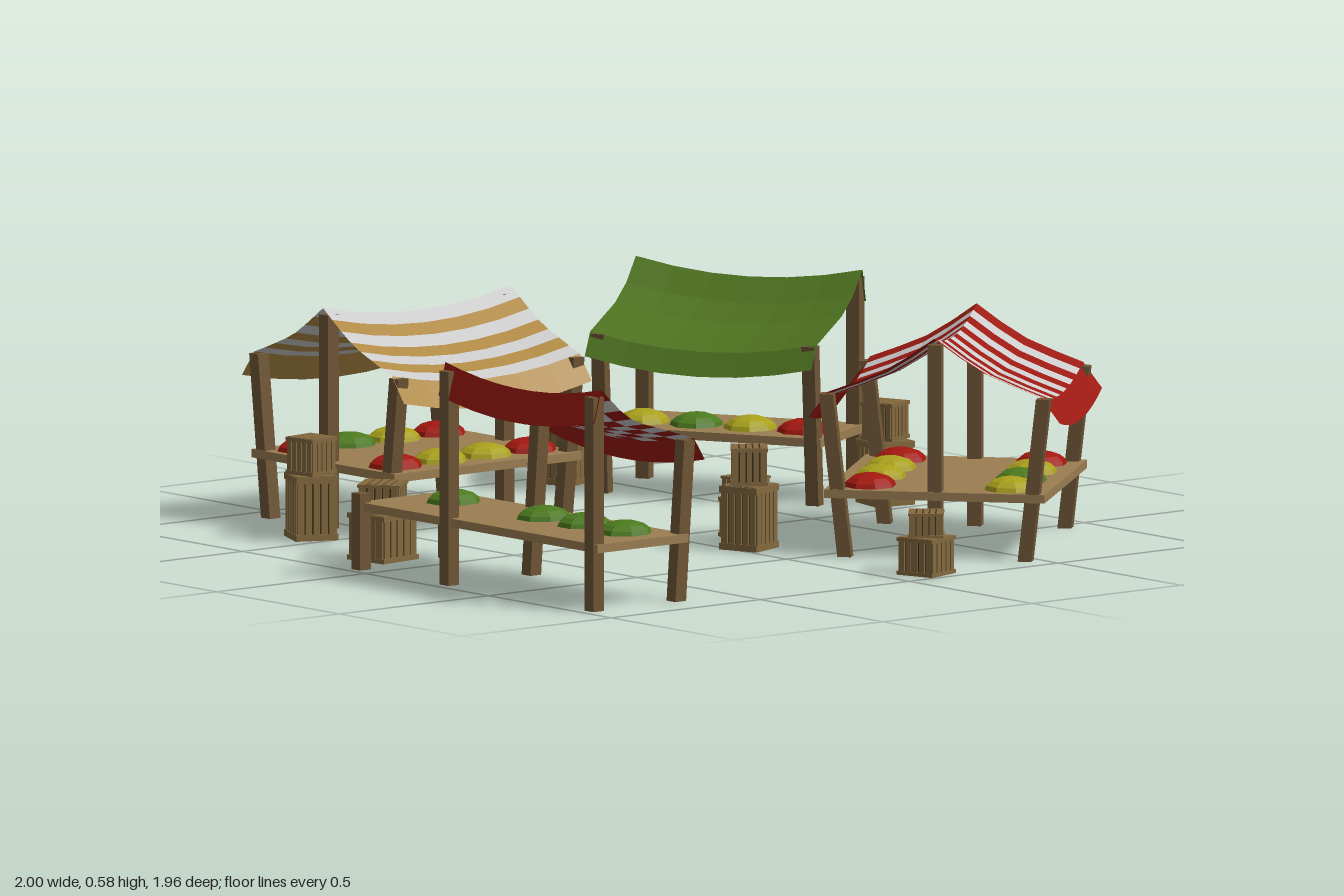
import * as THREE from 'three';

const mat = (color, extra = {}) => new THREE.MeshStandardMaterial({ color, flatShading: true, ...extra });
const wood = mat(0x84693f), plank = mat(0x9a7d52), postWood = mat(0x6f5636), gap = mat(0x3a2c1a);
const produceMats = { r: mat(0xa3180f), y: mat(0xa9a01c), g: mat(0x4c7a1e) };
const cloth = (color) => mat(color, { side: THREE.DoubleSide });
const red = cloth(0x9c1a12), white = cloth(0xbdbdbd), ochre = cloth(0xb08a45), green = cloth(0x4f7420);

const V2 = (x, y) => new THREE.Vector2(x, y);

function box(parent, name, material, w, h, d, x, y, z) {
  const m = new THREE.Mesh(new THREE.BoxGeometry(w, h, d), material);
  m.name = name;
  m.position.set(x, y, z);
  parent.add(m);
  return m;
}

// square post whose foot and head may be offset from one another
function post(parent, foot, head, height) {
  const t = 0.036;
  const geo = new THREE.BoxGeometry(t, height, t).translate(0, height / 2, 0);
  const p = geo.attributes.position;
  for (let i = 0; i < p.count; i++) {
    const k = p.getY(i) / height;
    p.setX(i, p.getX(i) + foot[0] + (head[0] - foot[0]) * k);
    p.setZ(i, p.getZ(i) + foot[1] + (head[1] - foot[1]) * k);
  }
  geo.computeVertexNormals();
  const m = new THREE.Mesh(geo, postWood);
  m.name = 'post';
  parent.add(m);
}

// sagging cloth: profile rows (across, height) swept along a length; pick() chooses each cell's colour
function canopy(parent, rows, length, cols, alongZ, pick) {
  const pos = [];
  const groups = new Map();
  rows.forEach((r) => {
    for (let j = 0; j <= cols; j++) {
      const t = (j / cols) * 2 - 1;
      const y = r.y - 0.036 * (1 - t * t);
      const l = (t * length) / 2;
      if (alongZ) pos.push(r.x, y, l);
      else pos.push(l, y, r.x);
    }
  });
  for (let i = 0; i < rows.length - 1; i++) {
    for (let j = 0; j < cols; j++) {
      const m = pick(i, j);
      if (!groups.has(m)) groups.set(m, []);
      const a = i * (cols + 1) + j, b = a + 1, c = a + cols + 1, d = c + 1;
      groups.get(m).push(...(alongZ ? [a, b, c, b, d, c] : [a, c, b, b, c, d]));
    }
  }
  // rows run from negative to positive, so flip faces to point upward
  const attr = new THREE.Float32BufferAttribute(pos, 3);
  for (const [m, index] of groups) {
    const g = new THREE.BufferGeometry();
    g.setAttribute('position', attr.clone());
    g.setIndex(index);
    g.computeVertexNormals();
    const mesh = new THREE.Mesh(g, m);
    mesh.name = 'canopyCloth';
    parent.add(mesh);
  }
}

// flattened heap of goods on a counter
function heap(parent, kind, x, z) {
  const geo = new THREE.SphereGeometry(1, 8, 4, Math.PI / 8, Math.PI * 2, 0, Math.PI / 2);
  const m = new THREE.Mesh(geo, produceMats[kind]);
  m.name = 'produceHeap';
  m.scale.set(0.07, 0.036, 0.075);
  m.position.set(x, 0.174, z);
  parent.add(m);
}

// slatted crate standing on its base
function crate(parent, w, h, y, turn) {
  const g = new THREE.Group();
  g.name = 'crate';
  g.position.y = y;
  g.rotation.y = turn;
  parent.add(g);
  box(g, 'crateCore', gap, w * 0.93, h * 0.95, w * 0.93, 0, h / 2, 0);
  const n = 5, pitch = (w * 0.96) / n, t = w * 0.04;
  for (let i = 0; i < n; i++) {
    const o = (i - (n - 1) / 2) * pitch;
    box(g, 'lidSlat', wood, pitch * 0.78, t, w * 0.94, o, h - t / 2, 0);
    for (const s of [-1, 1]) {
      box(g, 'sideSlat', wood, pitch * 0.78, h * 0.96, t, o, h / 2, s * (w / 2 - t / 2));
      box(g, 'sideSlat', wood, t, h * 0.96, pitch * 0.78, s * (w / 2 - t / 2), h / 2, o);
    }
  }
  for (const ry of [h * 0.06, h * 0.94]) {
    for (const s of [-1, 1]) {
      box(g, 'crateRail', wood, w * 1.02, h * 0.1, t, 0, ry, s * w * 0.5);
      box(g, 'crateRail', wood, t, h * 0.1, w * 1.02, s * w * 0.5, ry, 0);
    }
  }
}

function stall(root, name, x, z, turn) {
  const g = new THREE.Group();
  g.name = name;
  g.position.set(x, 0, z);
  g.rotation.y = turn;
  root.add(g);
  return g;
}

// square stall under a ridged canopy, ridge along z
function gableStall(root, name, x, z, turn, slopeRows, cols, pick, leftGoods, rightGoods) {
  const g = stall(root, name, x, z, turn);
  box(g, 'counter', plank, 0.58, 0.022, 0.63, 0, 0.165, 0);
  for (const s of [-1, 1]) {
    post(g, [0, s * 0.295], [0, s * 0.295], 0.56);
    for (const e of [-1, 1]) post(g, [e * 0.237, s * 0.295], [e * 0.285, s * 0.295], 0.425);
  }
  const slope = new THREE.SplineCurve([V2(0.28, 0.432), V2(0.2, 0.462), V2(0.11, 0.502), V2(0, 0.578)]);
  const half = [V2(0.33, 0.365), ...slope.getSpacedPoints(slopeRows)];
  const mirrored = half.map((p) => V2(-p.x, p.y));
  const rows = [...mirrored, ...half.slice(0, -1).reverse()];
  const last = rows.length - 2;
  canopy(g, rows, 0.63, cols, true, (i, j) => pick(Math.min(i, last - i), j));
  [...leftGoods].forEach((k, i) => heap(g, k, -0.185, 0.225 - i * 0.15));
  [...rightGoods].forEach((k, i) => heap(g, k, 0.185, 0.225 - i * 0.15));
}

// long stall under a lean-to canopy, tall side towards +z
function leanStall(root, name, x, z, turn, tableMin, slopeRows, cols, pick, goods) {
  const g = stall(root, name, x, z, turn);
  box(g, 'counter', plank, 0.32 - tableMin, 0.022, 0.305, (0.32 + tableMin) / 2, 0.165, 0.028);
  for (const s of [-1, 1]) {
    post(g, [s * 0.295, 0.17], [s * 0.295, 0.17], 0.56);
    post(g, [s * 0.295, -0.105], [s * 0.295, -0.135], 0.42);
  }
  const slope = new THREE.SplineCurve([V2(-0.145, 0.425), V2(-0.04, 0.458), V2(0.07, 0.497), V2(0.165, 0.58)]);
  const rows = [V2(-0.182, 0.365), ...slope.getSpacedPoints(slopeRows), V2(0.188, 0.495)];
  canopy(g, rows, 0.635, cols, false, pick);
  goods.forEach(([k, px]) => heap(g, k, px, -0.01));
  return g;
}

export function createModel() {
  const root = new THREE.Group();
  root.name = 'marketStalls';

  // ridged stalls: one striped along the ridge, one striped over it
  gableStall(root, 'ochreStall', -0.67, 0.275, 0, 7, 6,
    (i) => (i === 0 || i % 2 === 0 ? ochre : white), 'rgyr', 'ryyr');
  gableStall(root, 'redStripedStall', 0.545, -0.53, 0.706, 4, 13,
    (i, j) => (i === 0 || j % 2 === 0 ? red : white), 'ryyr', 'ygyr');

  // lean-to stalls: plain green, and checked red with a longer counter
  leanStall(root, 'greenStall', -0.49, -0.61, -2.652, -0.32, 4, 6, () => green,
    [['y', 0.225], ['g', 0.075], ['y', -0.075], ['r', -0.225]]);
  const checked = leanStall(root, 'checkedStall', 0.582, 0.785, 0, -0.655, 8, 9,
    (i, j) => (i === 0 || i === 9 || (i + j) % 2 === 0 ? red : white),
    [['g', -0.497], ['g', -0.13], ['g', 0.035], ['g', 0.2]]);
  post(checked, [-0.648, 0.175], [-0.648, 0.175], 0.2);
  post(checked, [-0.66, -0.125], [-0.66, -0.125], 0.2);

  // stacked crates: x, z, lower width and height, upper width and height, turn
  const stacks = [
    [-0.89, -0.4, 0.11, 0.17, 0.09, 0.1, 0.35],
    [-0.08, -0.81, 0.11, 0.17, 0.09, 0.1, -0.2],
    [-0.56, 0.72, 0.11, 0.17, 0.092, 0.098, -0.42],
    [0.3, -0.04, 0.11, 0.17, 0.092, 0.1, 0.35],
    [0.155, -0.148, 0.112, 0.105, 0.09, 0.06, -0.42],
    [0.93, -0.115, 0.108, 0.1, 0.088, 0.065, 0.3],
    [-0.16, 0.81, 0.128, 0.125, 0.108, 0.078, 0.12],
  ];
  for (const [x, z, w, h, w2, h2, turn] of stacks) {
    const s = stall(root, 'crateStack', x, z, turn);
    crate(s, w, h, 0, 0);
    crate(s, w2, h2, h, 0.55);
  }
  return root;
}
